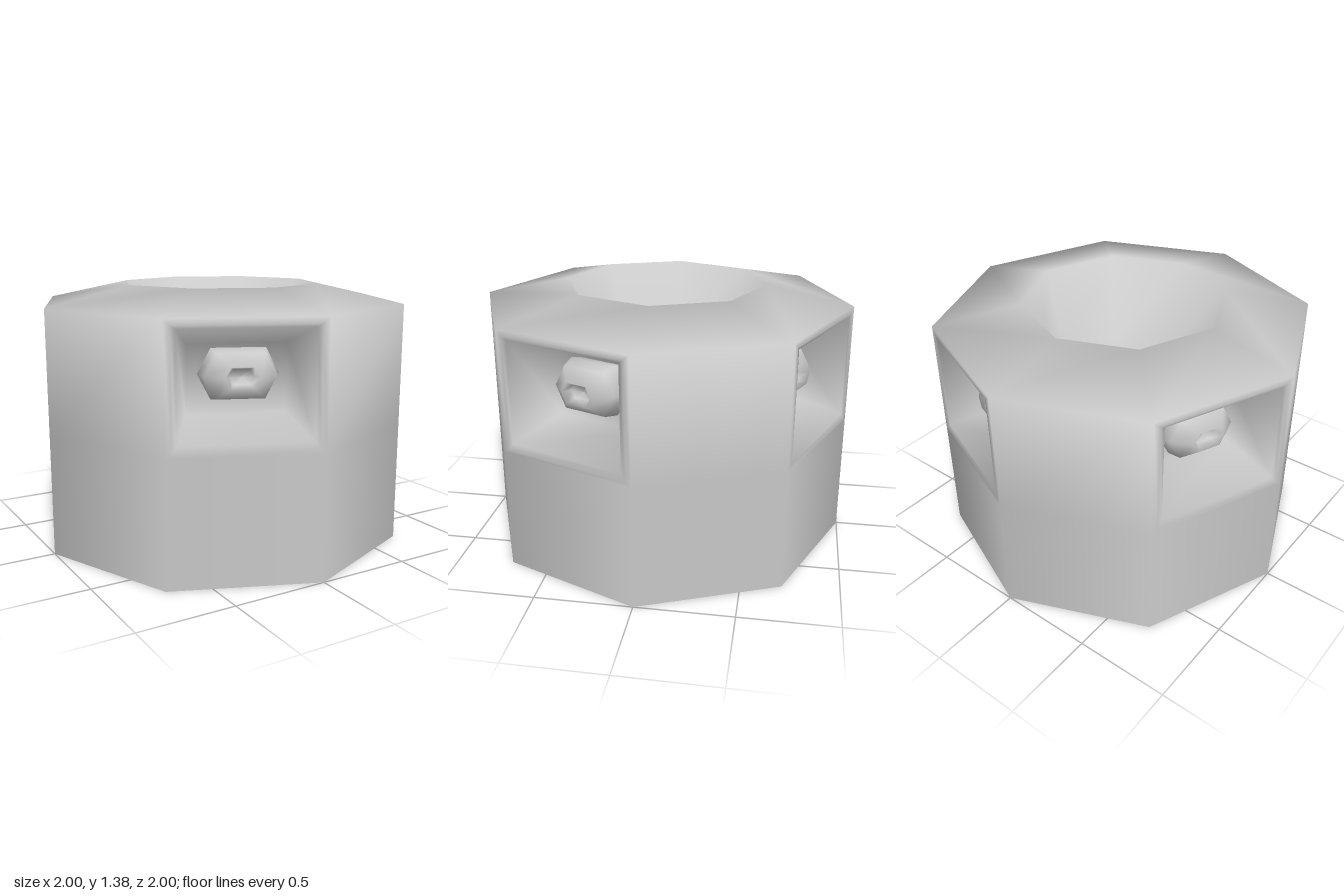
import * as THREE from 'three';

const SIDES = 8;
const HALF = Math.sin(Math.PI / SIDES); // half side length at radius 1
const APO = Math.cos(Math.PI / SIDES); // distance of a side from the axis
const UP = new THREE.Vector3(0, 1, 0);

// Collects flat polygons with shared corners; normals are weighted by corner angle
function surfaceBuilder() {
  const points = [], normals = [], index = [], lookup = new Map();
  const vertex = (p) => {
    const key = p.toArray().map((v) => Math.round(v * 1e4)).join();
    if (!lookup.has(key)) {
      lookup.set(key, points.length);
      points.push(p);
      normals.push(new THREE.Vector3());
    }
    return lookup.get(key);
  };
  return {
    polygon(corners) {
      const n = corners.length;
      const ids = corners.map(vertex);
      const edge = (i, j) => corners[j % n].clone().sub(corners[i % n]);
      const normal = edge(0, 1).cross(edge(0, 2)).normalize();
      ids.forEach((id, i) =>
        normals[id].addScaledVector(normal, edge(i, i + 1).angleTo(edge(i, i + n - 1))));
      for (let i = 1; i < n - 1; i++) index.push(ids[0], ids[i], ids[i + 1]);
    },
    build() {
      const geometry = new THREE.BufferGeometry().setFromPoints(points);
      const flat = normals.flatMap((v) => v.normalize().toArray());
      geometry.setAttribute('normal', new THREE.Float32BufferAttribute(flat, 3));
      return geometry.setIndex(index);
    },
  };
}

// Rectangle in one side's own frame (x along the side, y up, z outward)
const rect = (w, y0, y1, z) => [[-w, y0, z], [w, y0, z], [w, y1, z], [-w, y1, z]];

function shellGeometry() {
  const surface = surfaceBuilder();

  for (let k = 0; k < SIDES; k++) {
    const angle = (k - 0.5) * Math.PI * 2 / SIDES;
    const face = (...pts) => surface.polygon(
      pts.map((p) => new THREE.Vector3(...p).applyAxisAngle(UP, angle)));
    const band = (r0, y0, r1, y1) => face(
      [-HALF * r0, y0, APO * r0], [HALF * r0, y0, APO * r0],
      [HALF * r1, y1, APO * r1], [-HALF * r1, y1, APO * r1]);

    // lower wall, sloping roof, basin wall and dished basin floor
    band(1, 0, 1, 0.645);
    band(1, 1.285, 0.54, 1.385);
    band(0.54, 1.385, 0.45, 0.9);
    face([-HALF * 0.45, 0.9, APO * 0.45], [HALF * 0.45, 0.9, APO * 0.45], [0, 0.7, 0]);

    // upper wall: plain, or with a tapered niche on every other side
    if (k % 2) {
      band(1, 0.645, 1, 1.285);
      continue;
    }
    const loops = [
      rect(HALF, 0.645, 1.285, APO),
      rect(0.35, 0.665, 1.255, APO),
      rect(0.325, 0.7, 1.24, APO - 0.005),
      rect(0.25, 0.78, 1.13, 0.614),
    ];
    for (let l = 0; l < loops.length - 1; l++) {
      for (let i = 0; i < 4; i++) {
        const j = (i + 1) % 4;
        face(loops[l][i], loops[l][j], loops[l + 1][j], loops[l + 1][i]);
      }
    }
    face(...loops[3]);
  }
  return surface.build();
}

// Six-sided flattened knob with a small dished tip, pointing along +z
function knobGeometry() {
  const profile = [[0, -0.16], [0.4, -0.15], [0.88, -0.08], [1, 0], [0.88, 0.08], [0.42, 0.15], [0.3, 0.1], [0, 0.09]]
    .map(([r, y]) => new THREE.Vector2(r, y));
  const geometry = new THREE.LatheGeometry(profile, 6, Math.PI / 2)
    .scale(0.2, 1, 0.145)
    .rotateX(Math.PI / 2);
  // widen the flat top and bottom, leaving the two side points in place
  const p = geometry.attributes.position;
  for (let i = 0; i < p.count; i++) {
    if (Math.abs(p.getY(i)) > 0.01) p.setX(i, p.getX(i) * 1.35);
  }
  return geometry;
}

export function createModel() {
  const group = new THREE.Group();
  group.name = 'octagonalHousing';
  const material = new THREE.MeshStandardMaterial({ color: 0xcccccc, side: THREE.DoubleSide });

  const shell = new THREE.Mesh(shellGeometry(), material);
  shell.name = 'shell';
  group.add(shell);

  // one knob set through the back of each niche
  const knobShape = knobGeometry();
  for (let k = 0; k < 4; k++) {
    const mount = new THREE.Group();
    mount.name = 'knobMount';
    mount.rotation.y = (k * 2 - 0.5) * Math.PI * 2 / SIDES;
    const knob = new THREE.Mesh(knobShape, material);
    knob.name = 'knob';
    knob.position.set(0, 0.99, 0.666);
    mount.add(knob);
    group.add(mount);
  }
  return group;
}
